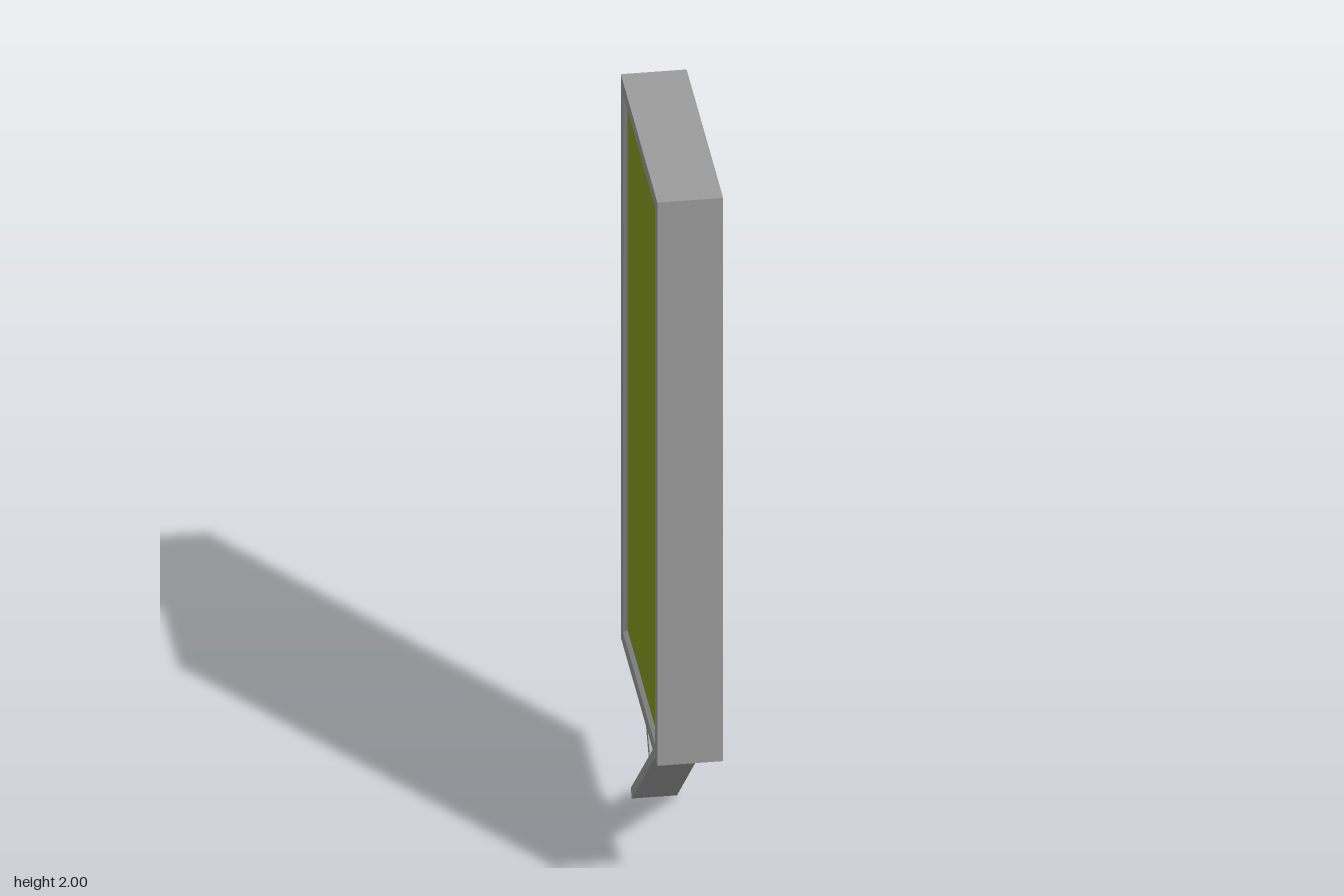
import * as THREE from 'three';

const grey = new THREE.MeshStandardMaterial({ color: 0x9d9d9d, flatShading: true });
const olive = new THREE.MeshStandardMaterial({ color: 0x889b1e });

const BOTTOM = 0.432, TOP = 2, HALF_DEPTH = 0.31, HALF_WIDTH = 0.08;
const MID_Y = (BOTTOM + TOP) / 2, HALF_HEIGHT = (TOP - BOTTOM) / 2;
const PANEL_X = 0.07, PANEL_INSET = 0.046, OPENING_INSET = 0.036;

// Case: rectangular loops swept along x, turning inwards to bevelled recesses
function caseGeometry() {
  const loops = [
    [-PANEL_X, PANEL_INSET], [-HALF_WIDTH, OPENING_INSET], [-HALF_WIDTH, 0],
    [HALF_WIDTH, 0], [HALF_WIDTH, OPENING_INSET], [PANEL_X, PANEL_INSET],
  ];
  const corners = [[1, -1], [-1, -1], [-1, 1], [1, 1]];
  const positions = [], index = [];
  loops.forEach(([x, inset], i) => {
    corners.forEach(([sz, sy], j) => {
      positions.push(x, MID_Y + sy * (HALF_HEIGHT - inset), sz * (HALF_DEPTH - inset));
      if (i === loops.length - 1) return;
      const a = i * 4 + j, b = i * 4 + (j + 1) % 4;
      index.push(a, b, b + 4, a, b + 4, a + 4);
    });
  });
  const indexed = new THREE.BufferGeometry();
  indexed.setAttribute('position', new THREE.Float32BufferAttribute(positions, 3));
  indexed.setIndex(index);
  const geometry = indexed.toNonIndexed();
  geometry.computeVertexNormals();
  return geometry;
}

// Side profile given as [z, y] points, extruded across x
function bracketPart(name, points) {
  const shape = new THREE.Shape(points.map(([z, y]) => new THREE.Vector2(-z, y)));
  const geometry = new THREE.ExtrudeGeometry(shape, { depth: 0.11, bevelEnabled: false });
  geometry.rotateY(Math.PI / 2).translate(-0.058, 0, 0);
  const mesh = new THREE.Mesh(geometry, grey);
  mesh.name = name;
  return mesh;
}

export function createModel() {
  const model = new THREE.Group();
  model.name = 'signBox';

  const body = new THREE.Mesh(caseGeometry(), grey);
  body.name = 'case';
  model.add(body);

  // Coloured panels on both broad sides
  for (const side of [1, -1]) {
    const panel = new THREE.Mesh(
      new THREE.PlaneGeometry(2 * (HALF_DEPTH - PANEL_INSET), 2 * (HALF_HEIGHT - PANEL_INSET)), olive);
    panel.name = side > 0 ? 'leftPanel' : 'rightPanel';
    panel.position.set(side * PANEL_X, MID_Y, 0);
    panel.rotation.y = side * Math.PI / 2;
    model.add(panel);
  }

  // Mounting bracket: plate, sloping arm and short brace
  const bracket = new THREE.Group();
  bracket.name = 'bracket';
  bracket.add(
    bracketPart('mountingPlate', [[0.17, 0.405], [-0.311, 0.405], [-0.311, BOTTOM], [0.17, BOTTOM]]),
    bracketPart('arm', [[0.22, BOTTOM], [-0.278, 0], [-0.295, 0.02], [0.183, BOTTOM]]),
    bracketPart('brace', [[0.034, 0.288], [0.014, 0.275], [-0.087, 0.407], [-0.055, 0.407]]),
  );
  model.add(bracket);
  return model;
}
